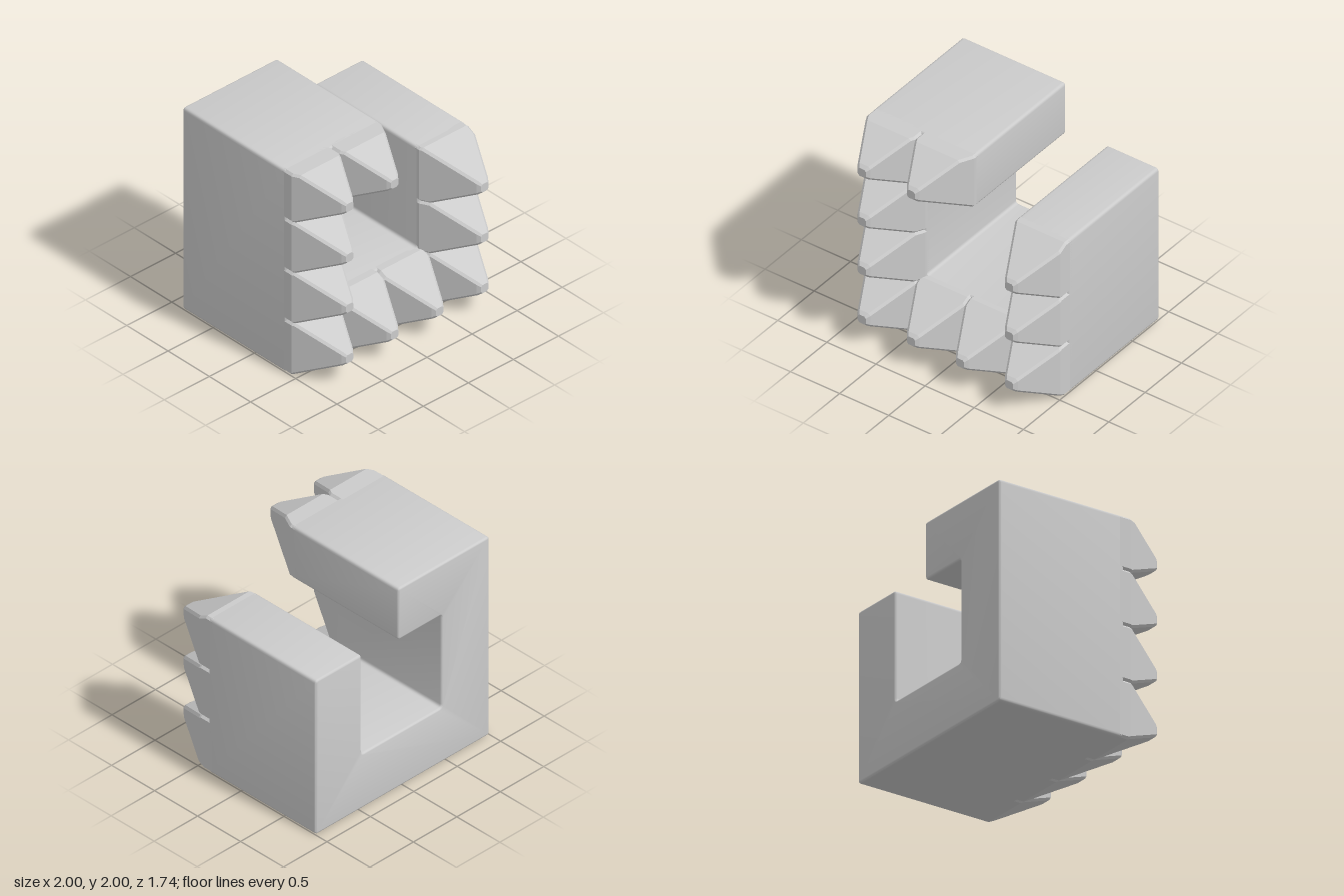
import * as THREE from 'three';
import { ConvexGeometry } from 'three/addons/geometries/ConvexGeometry.js';
import { toCreasedNormals } from 'three/addons/utils/BufferGeometryUtils.js';

const BACK = -0.87, BODY_FRONT = 0.38, SPIKE_BACK = 0.34;
const TIP = 0.87, APEX = 0.97, SLOPE = 2;
const CHAMFER = 0.02, BEVEL = 0.02;

// Closed outline with softly rounded corners
function roundedShape(points, r) {
  const shape = new THREE.Shape();
  const pts = points.map(([x, y]) => new THREE.Vector2(x, y));
  pts.forEach((p, i) => {
    const toward = (q) => q.clone().sub(p).setLength(r).add(p);
    const a = toward(pts[(i + pts.length - 1) % pts.length]);
    const b = toward(pts[(i + 1) % pts.length]);
    if (i === 0) shape.moveTo(a.x, a.y);
    else shape.lineTo(a.x, a.y);
    shape.quadraticCurveTo(p.x, p.y, b.x, b.y);
  });
  shape.closePath();
  return shape;
}

// Blunt pyramid over a rectangular cell, with chamfered ridges and corners
function spikeGeometry(cx, cy, x0, x1, y0, y1) {
  const pts = [];
  const height = (d) => APEX - SLOPE * d;
  for (const sx of [-1, 1]) for (const sy of [-1, 1]) {
    const ex = sx < 0 ? cx - x0 : x1 - cx;
    const ey = sy < 0 ? cy - y0 : y1 - cy;
    const corner = (dx, dy, z, c = CHAMFER) => pts.push(
      new THREE.Vector3(cx + sx * dx, cy + sy * (dy - c), z),
      new THREE.Vector3(cx + sx * (dx - c), cy + sy * dy, z));
    const d = Math.min(ex, ey);
    corner(0.04, 0.04, TIP, 0.015);
    corner(0.065, 0.065, height(0.065));
    corner(d, d, height(d));
    if (Math.abs(ex - ey) > 0.001) corner(ex, ey, height(Math.max(ex, ey)));
    corner(ex, ey, SPIKE_BACK);
  }
  return new ConvexGeometry(pts);
}

export function createModel() {
  const group = new THREE.Group();
  const material = new THREE.MeshStandardMaterial({ color: 0xcccccc });

  // Hook-shaped block
  const outline = roundedShape([
    [-1, 0], [1, 0], [1, 1.55], [0.47, 1.55], [0.47, 0.55],
    [-0.45, 0.55], [-0.45, 1.48], [0.05, 1.48], [0.05, 2], [-1, 2],
  ], 0.03);
  const bodyGeometry = new THREE.ExtrudeGeometry(outline, {
    depth: BODY_FRONT - BACK - 2 * BEVEL, curveSegments: 4,
    bevelThickness: BEVEL, bevelSize: BEVEL, bevelOffset: -BEVEL, bevelSegments: 3,
  });
  bodyGeometry.translate(0, 0, BACK + BEVEL);
  const body = new THREE.Mesh(toCreasedNormals(bodyGeometry, 0.6), material);
  body.name = 'body';
  group.add(body);

  // Pyramid spikes: column, row, then left, right, bottom and top bounds
  const spikes = new THREE.Group();
  spikes.name = 'spikes';
  const cells = [
    [0, 0, -1, -0.49, 0, 0.52], [1, 0, -0.49, 0.01, 0, 0.55],
    [2, 0, 0.01, 0.51, 0, 0.55], [3, 0, 0.51, 1, 0, 0.52],
    [0, 1, -1, -0.45, 0.52, 1.02], [0, 2, -1, -0.45, 1.02, 1.52],
    [0, 3, -1, -0.49, 1.52, 2], [1, 3, -0.49, 0.05, 1.48, 2],
    [3, 1, 0.47, 1, 0.52, 1.02], [3, 2, 0.47, 1, 1.02, 1.55],
  ];
  for (const [col, row, ...bounds] of cells) {
    const geometry = spikeGeometry(-0.74 + 0.5 * col, 0.27 + 0.5 * row, ...bounds);
    const spike = new THREE.Mesh(geometry, material);
    spike.name = 'spike';
    spikes.add(spike);
  }
  group.add(spikes);
  return group;
}
